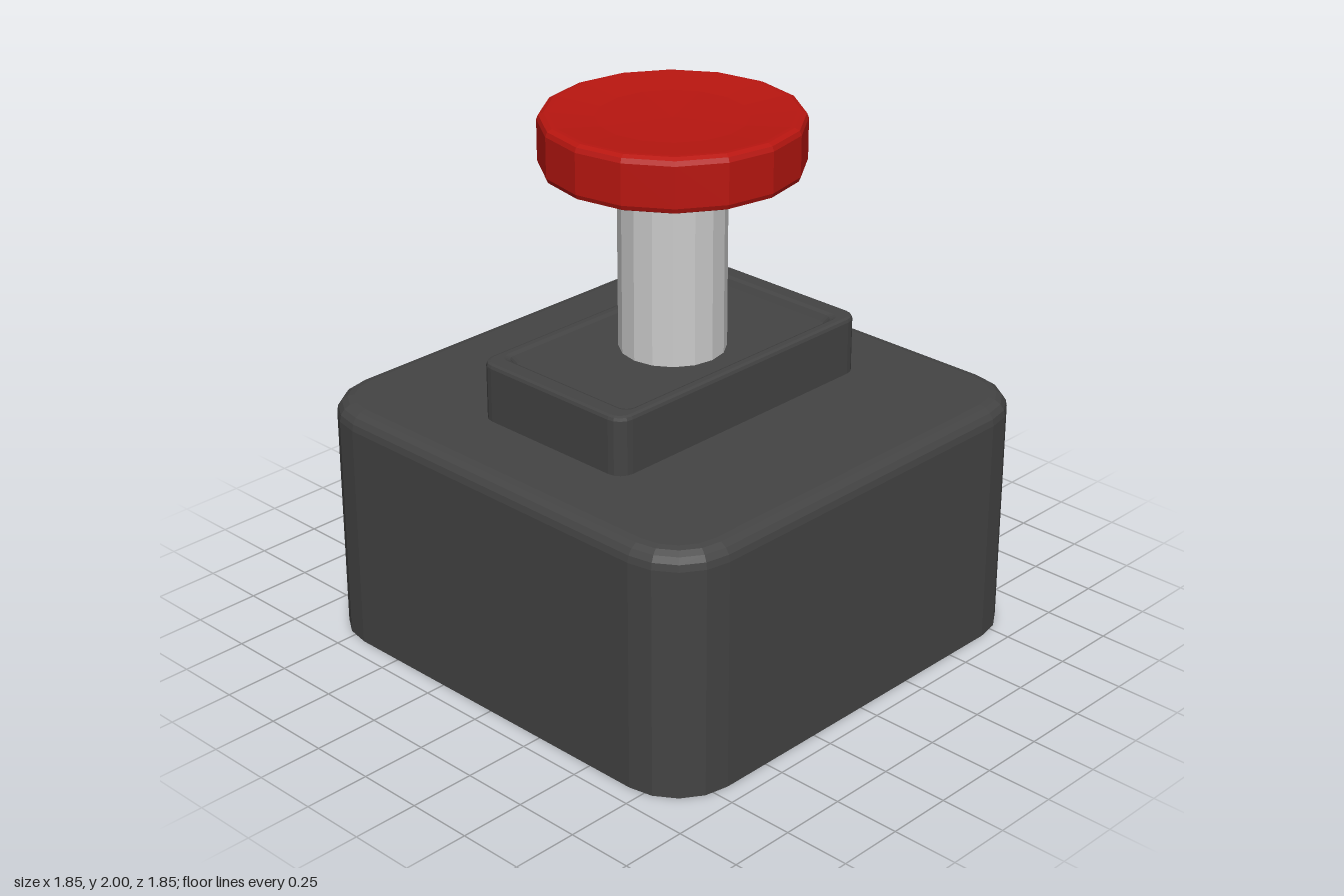
import * as THREE from 'three';

const paint = color => new THREE.MeshStandardMaterial({ color, flatShading: true });

// Rounded-rectangle ring of half sizes w, d and corner radius r at height y
function ring({ w, d, r, y }, steps = 4) {
  const points = [];
  for (let c = 0; c < 4; c++) {
    const sx = c === 0 || c === 3 ? 1 : -1;
    const sz = c < 2 ? 1 : -1;
    for (let s = 0; s <= steps; s++) {
      const a = (c + s / steps) * Math.PI / 2;
      points.push([sx * (w - r) + r * Math.cos(a), y, sz * (d - r) + r * Math.sin(a)]);
    }
  }
  return points;
}

// Skin a stack of rings and close both ends
function loft(sections) {
  const rings = sections.map(s => ring(s));
  const n = rings[0].length;
  const last = rings.length - 1;
  const index = [];
  const positions = rings.flat(2);
  positions.push(0, sections[0].y, 0, 0, sections[last].y, 0);
  const bottom = rings.length * n;
  for (let i = 0; i < n; i++) {
    const j = (i + 1) % n;
    for (let k = 0; k < last; k++) {
      const a = k * n + i, b = k * n + j;
      index.push(a, a + n, b, b, a + n, b + n);
    }
    index.push(bottom, i, j, bottom + 1, last * n + j, last * n + i);
  }
  const geometry = new THREE.BufferGeometry();
  geometry.setAttribute('position', new THREE.Float32BufferAttribute(positions, 3));
  geometry.setIndex(index);
  geometry.computeVertexNormals();
  return geometry;
}

function lathe(profile) {
  return new THREE.LatheGeometry(profile.map(([x, y]) => new THREE.Vector2(x, y)), 16);
}

export function createModel() {
  const model = new THREE.Group();
  const dark = paint(0x444444);
  const add = (name, geometry, material) => {
    const mesh = new THREE.Mesh(geometry, material);
    mesh.name = name;
    model.add(mesh);
  };

  // Housing: straight walls with a rounded top edge
  const half = 0.925, bevel = 0.065;
  const housing = [{ w: half, d: half, r: 0.235, y: 0 }];
  for (let i = 0; i <= 4; i++) {
    const a = i / 4 * Math.PI / 2;
    const inset = bevel * (1 - Math.cos(a));
    housing.push({ w: half - inset, d: half - inset, r: 0.235 - inset, y: 0.93 - bevel + bevel * Math.sin(a) });
  }
  add('housing', loft(housing), dark);

  // Collar: raised block with a thin rim around a shallow recess
  add('collar', loft([
    { w: 0.615, d: 0.35, r: 0.06, y: 0.92 },
    { w: 0.615, d: 0.35, r: 0.06, y: 1.135 },
    { w: 0.611, d: 0.346, r: 0.056, y: 1.146 },
    { w: 0.6, d: 0.335, r: 0.045, y: 1.15 },
    { w: 0.55, d: 0.315, r: 0.04, y: 1.15 },
    { w: 0.535, d: 0.3, r: 0.04, y: 1.143 },
    { w: 0.52, d: 0.285, r: 0.04, y: 1.12 },
  ]), dark);

  // Stem
  const stem = new THREE.CylinderGeometry(0.195, 0.195, 0.72, 16);
  stem.translate(0, 1.46, 0);
  add('stem', stem, paint(0xcccccc));

  // Push button: rounded edges and a slightly dished top
  add('button', lathe([
    [0, 1.8], [0.445, 1.8], [0.463, 1.808], [0.47, 1.825],
    [0.47, 1.975], [0.463, 1.992], [0.445, 2], [0.43, 2], [0.27, 1.985], [0, 1.98],
  ]), paint(0xb81610));

  return model;
}
